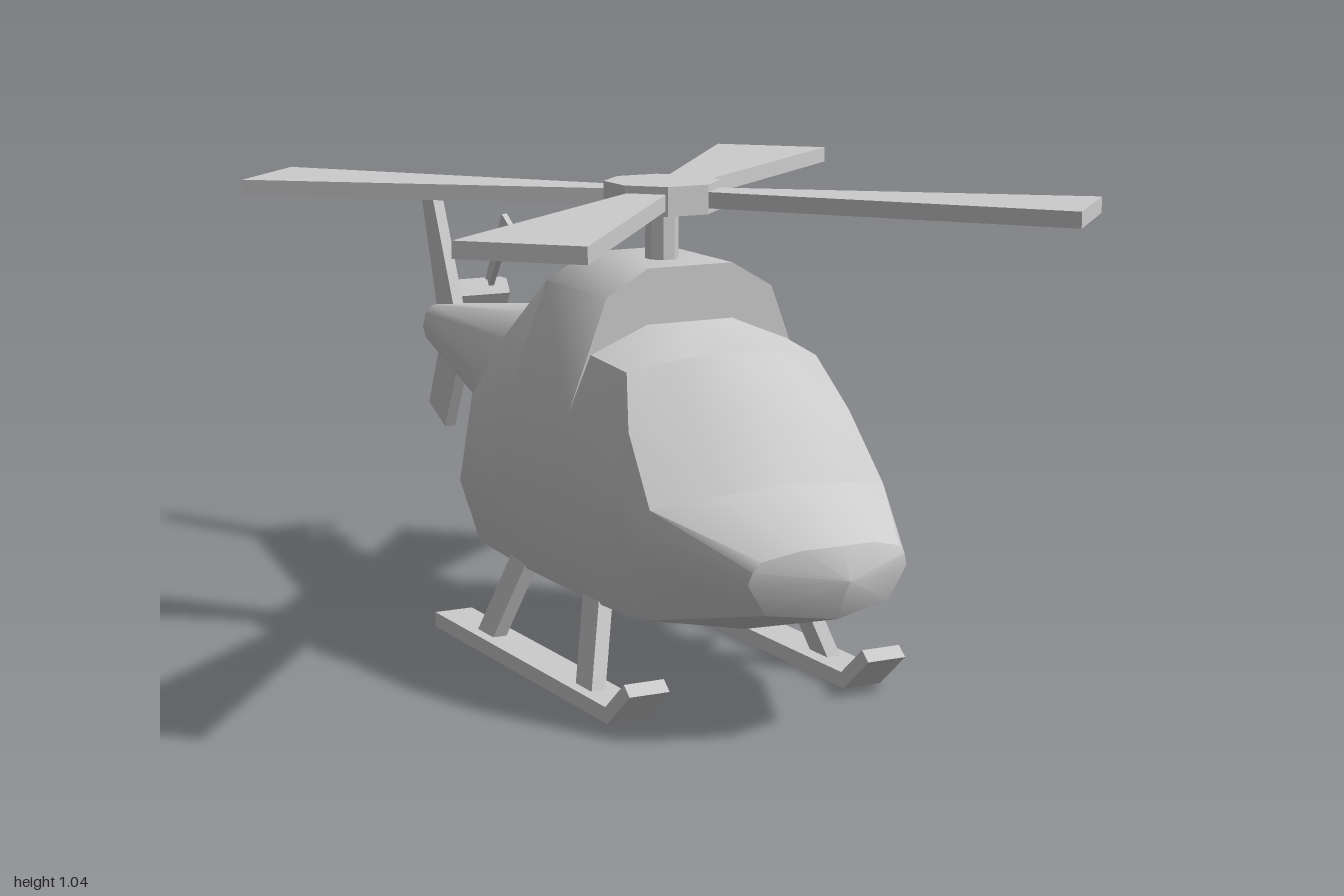
import * as THREE from 'three';
import { toCreasedNormals } from 'three/addons/utils/BufferGeometryUtils.js';

const material = new THREE.MeshStandardMaterial({ color: 0xcccccc });

function add(parent, name, geometry) {
  const mesh = new THREE.Mesh(geometry, material);
  mesh.name = name;
  parent.add(mesh);
  return mesh;
}

// Half cross-section (top centre, down the left side, bottom centre) to a closed ring
function ring(half) {
  const mirrored = half.slice(1, -1).reverse().map(([x, y, z]) => [-x, y, z]);
  return [...half, ...mirrored].map((p) => new THREE.Vector3(...p));
}

// Skin over rings running front to back; keep(row, column) picks the quads
function loft(rings, keep, frontCentre, backCentre) {
  const pos = [];
  const n = rings[0].length;
  const tri = (a, b, c) => {
    if (new THREE.Triangle(a, b, c).getArea() < 1e-6) return;
    for (const p of [a, b, c]) pos.push(p.x, p.y, p.z);
  };
  for (let i = 0; i < n; i++) {
    const j = (i + 1) % n;
    for (let r = 0; r < rings.length - 1; r++) {
      if (!keep(r, i)) continue;
      const [a, b, c, d] = [rings[r][i], rings[r][j], rings[r + 1][i], rings[r + 1][j]];
      // mirror the diagonal on the right half so both sides match
      if (i < n / 2) { tri(a, b, c); tri(b, d, c); }
      else { tri(a, b, d); tri(a, d, c); }
    }
    if (frontCentre) tri(frontCentre, rings[0][j], rings[0][i]);
    if (backCentre) tri(backCentre, rings.at(-1)[i], rings.at(-1)[j]);
  }
  const g = new THREE.BufferGeometry();
  g.setAttribute('position', new THREE.Float32BufferAttribute(pos, 3));
  return toCreasedNormals(g, 0.75);
}

// Flat plate from a [z, y] outline, with its thickness along x
function plate(outline, thickness) {
  const shape = new THREE.Shape(outline.map((p) => new THREE.Vector2(...p)));
  const g = new THREE.ExtrudeGeometry(shape, { depth: thickness, bevelEnabled: false });
  return g.translate(0, 0, -thickness / 2).rotateY(-Math.PI / 2);
}

// Slanted bar between two points, with level ends
function strut(from, to, width, depth) {
  const g = new THREE.BoxGeometry(width, 1, depth);
  const p = g.attributes.position;
  for (let i = 0; i < p.count; i++) {
    const t = p.getY(i) + 0.5;
    p.setXYZ(i,
      p.getX(i) + THREE.MathUtils.lerp(from[0], to[0], t),
      THREE.MathUtils.lerp(from[1], to[1], t),
      p.getZ(i) + THREE.MathUtils.lerp(from[2], to[2], t));
  }
  g.computeVertexNormals();
  return g;
}

function buildFuselage(parent) {
  const cabin = (z) => [[0, 0.875, z], [0.1, 0.875, z], [0.195, 0.82, z], [0.282, 0.59, z],
    [0.304, 0.345, z], [0.245, 0.195, z], [0, 0.145, z]];
  const rings = [
    // nose
    [[0, 0.41, 0.975], [0.08, 0.405, 0.955], [0.155, 0.385, 0.93], [0.172, 0.365, 0.925],
      [0.18, 0.34, 0.92], [0.14, 0.275, 0.92], [0, 0.26, 0.955]],
    // windscreen base, middle and top
    [[0, 0.495, 0.78], [0.14, 0.475, 0.74], [0.27, 0.45, 0.69], [0.277, 0.41, 0.66],
      [0.28, 0.345, 0.63], [0.225, 0.2, 0.6], [0, 0.155, 0.6]],
    [[0, 0.62, 0.665], [0.13, 0.61, 0.64], [0.257, 0.585, 0.575], [0.278, 0.5, 0.54],
      [0.298, 0.345, 0.48], [0.242, 0.196, 0.47], [0, 0.15, 0.47]],
    [[0, 0.72, 0.535], [0.11, 0.712, 0.525], [0.222, 0.69, 0.5], [0.275, 0.58, 0.44],
      [0.302, 0.345, 0.42], [0.245, 0.195, 0.41], [0, 0.147, 0.41]],
    // roof step
    [[0, 0.758, 0.36], [0.1, 0.758, 0.36], [0.232, 0.705, 0.36], ...cabin(0.36).slice(3)],
    cabin(0.36),
    cabin(0.08),
    // rear of the cabin
    [[0, 0.715, -0.21], [0.09, 0.7, -0.21], [0.16, 0.65, -0.21], [0.245, 0.53, -0.195],
      [0.285, 0.345, -0.175], [0.235, 0.2, -0.18], [0, 0.183, -0.23]],
    [[0, 0.7, -0.23], [0.08, 0.685, -0.23], [0.13, 0.64, -0.24], [0.15, 0.55, -0.26],
      [0.155, 0.41, -0.285], [0.12, 0.23, -0.25], [0, 0.195, -0.245]],
  ].map(ring);
  const isGlass = (r, i) => (r === 1 || r === 2) && (i < 2 || i > 9);
  add(parent, 'fuselage', loft(rings, (r, i) => !isGlass(r, i),
    new THREE.Vector3(0, 0.345, 1), new THREE.Vector3(0, 0.45, -0.265)));
  add(parent, 'windscreen', loft(rings, isGlass));
}

function buildTail(parent) {
  const section = (w, top, bottom, zTop, zBottom) => {
    const at = (x, t) => [x * w, THREE.MathUtils.lerp(bottom, top, t), THREE.MathUtils.lerp(zBottom, zTop, t)];
    return ring([at(0, 1), at(0.5, 0.95), at(0.85, 0.75), at(1, 0.4), at(0.85, 0.08), at(0, 0)]);
  };
  add(parent, 'tailBoom', loft(
    [section(0.16, 0.717, 0.41, -0.2, -0.285), section(0.05, 0.62, 0.53, -0.905, -0.905)],
    () => true, new THREE.Vector3(0, 0.56, -0.24), new THREE.Vector3(0, 0.575, -0.91)));
  add(parent, 'upperFin', plate([[-0.79, 0.6], [-0.89, 0.58], [-1, 0.915], [-0.935, 0.91]], 0.027));
  add(parent, 'lowerFin', plate([[-0.78, 0.485], [-0.86, 0.32], [-0.955, 0.365], [-0.87, 0.56]], 0.027));

  // tail rotor on the left side
  const rotor = new THREE.Group();
  rotor.name = 'tailRotor';
  rotor.position.set(0, 0.647, -0.855);
  parent.add(rotor);
  add(rotor, 'tailRotorHub',
    toCreasedNormals(new THREE.CylinderGeometry(0.038, 0.038, 0.145, 6), 0.5)
      .rotateZ(Math.PI / 2).translate(0.0725, 0, 0));
  const blade = add(rotor, 'tailRotorBlades', plate(
    [[-0.021, -0.228], [0.021, -0.228], [0.011, 0], [0.021, 0.228], [-0.021, 0.228], [-0.011, 0]], 0.014));
  blade.position.x = 0.1;
  blade.rotation.x = 0.56;
}

function buildMainRotor(parent) {
  const rotor = new THREE.Group();
  rotor.name = 'mainRotor';
  rotor.position.z = 0.235;
  parent.add(rotor);
  const prism = (r, h, y) => toCreasedNormals(new THREE.CylinderGeometry(r, r, h, 8), 0.5)
    .rotateY(Math.PI / 8).translate(0, y, 0);
  add(rotor, 'rotorMast', prism(0.035, 0.14, 0.92));
  add(rotor, 'rotorHub', prism(0.123, 0.062, 1.008));
  for (let i = 0; i < 4; i++) {
    const blade = add(rotor, 'rotorBlade',
      plate([[0.05, -0.035], [0.902, -0.131], [0.902, 0.131], [0.05, 0.035]], 0.034).rotateZ(Math.PI / 2));
    blade.position.y = 1.006;
    blade.rotation.y = Math.PI / 4 + i * Math.PI / 2;
  }
}

function buildLandingGear(parent) {
  for (const side of [1, -1]) {
    const gear = new THREE.Group();
    gear.name = side > 0 ? 'leftLandingGear' : 'rightLandingGear';
    parent.add(gear);
    const skid = add(gear, 'skid', plate([[-0.235, 0], [0.61, 0], [0.705, 0.08], [0.68, 0.1],
      [0.6, 0.033], [-0.235, 0.033]], 0.09));
    skid.position.x = side * 0.277;
    add(gear, 'frontStrut', strut([side * 0.285, 0.02, 0.46], [side * 0.222, 0.235, 0.378], 0.032, 0.072));
    add(gear, 'rearStrut', strut([side * 0.285, 0.02, -0.025], [side * 0.222, 0.24, 0.055], 0.032, 0.078));
  }
}

export function createModel() {
  const model = new THREE.Group();
  model.name = 'helicopter';
  buildFuselage(model);
  buildTail(model);
  buildMainRotor(model);
  buildLandingGear(model);
  return model;
}
